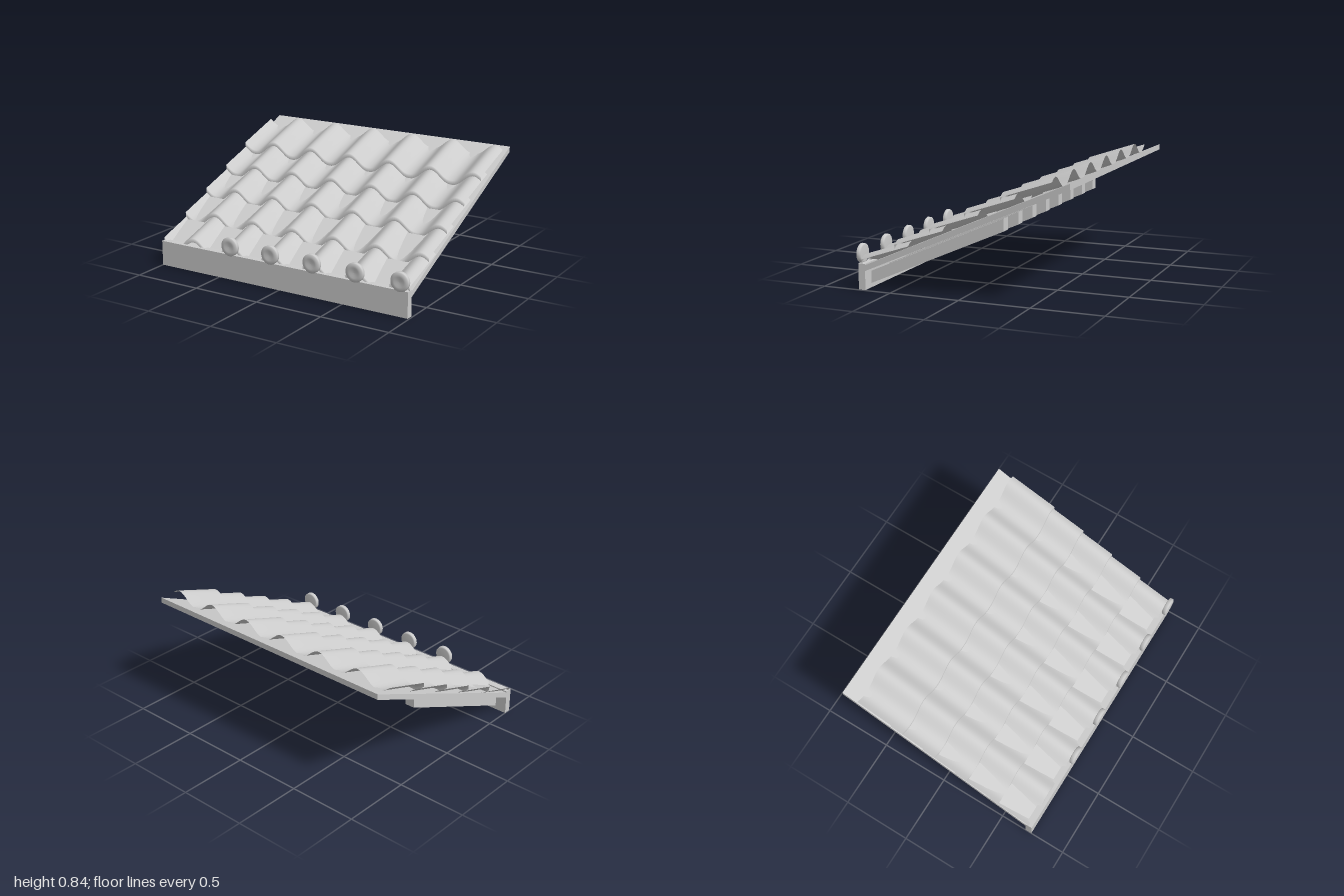
import * as THREE from 'three';

const MIN_X = -1, MAX_X = 0.99, MID_X = -0.005, WIDTH = MAX_X - MIN_X;
const PITCH = 1 / 3, CREST_X = 0.265, WAVE = 0.085;
const SLOPE = 0.443;

// Height of the tile wave above its trough
function wave(x) {
  const c = Math.cos(((x - CREST_X) / PITCH) * Math.PI * 2);
  return WAVE * Math.pow(Math.max(0, (1 + c) / 2), 1.2);
}

// Sloping board with plumb-cut ends: zf/zb are its ends, y0 its underside at the front
function slopedBoard(width, zf, zb, y0, thick) {
  const y1 = y0 + (zf - zb) * SLOPE;
  const shape = new THREE.Shape([
    new THREE.Vector2(zf, y0), new THREE.Vector2(zf, y0 + thick),
    new THREE.Vector2(zb, y1 + thick), new THREE.Vector2(zb, y1),
  ]);
  const g = new THREE.ExtrudeGeometry(shape, { depth: width, bevelEnabled: false });
  g.translate(0, 0, -width / 2);
  g.rotateY(-Math.PI / 2);
  return g;
}

// Wavy tile course with a short lip turned down at its front edge
function tileCourse() {
  const length = 0.35, rise = 0.118, lip = 0.03;
  const g = new THREE.PlaneGeometry(WIDTH, 1, 120, 2);
  const p = g.attributes.position;
  for (let i = 0; i < p.count; i++) {
    const x = p.getX(i) + MID_X, v = p.getY(i);
    const back = v > 0.25, lipEdge = v < -0.25;
    p.setXYZ(i, x, wave(x) + (back ? rise : lipEdge ? -lip : 0), back ? -length : 0);
  }
  g.computeVertexNormals();
  return g;
}

export function createModel() {
  const model = new THREE.Group();
  model.name = 'tiledRoof';
  const grey = new THREE.MeshStandardMaterial({ color: 0xcccccc, side: THREE.DoubleSide });
  grey.name = 'light grey';
  const add = (name, geometry, x = 0, y = 0, z = 0) => {
    const m = new THREE.Mesh(geometry, grey);
    m.name = name;
    m.position.set(x, y, z);
    model.add(m);
    return m;
  };

  // Timber structure
  add('fascia', new THREE.BoxGeometry(WIDTH, 0.18, 0.05), MID_X, 0.09, 0.715);
  add('deck', slopedBoard(WIDTH, 0.69, -0.76, 0.131, 0.04), MID_X);
  const rafter = slopedBoard(0.07, 0.69, -0.28, 0.03, 0.085);
  for (let i = 0; i < 8; i++) add('rafter', rafter, MID_X + (i - 3.5) * 0.25);

  // Overlapping tile courses
  const course = tileCourse();
  for (let i = 0; i < 5; i++) add('tileCourse', course, 0, 0.15 + i * 0.122, 0.715 - i * 0.2515);

  // Round end tiles along the eaves
  const profile = [[0, -0.018], [0.055, -0.018], [0.066, -0.013], [0.067, 0.008],
    [0.062, 0.013], [0.05, 0.018], [0.035, 0.018], [0.02, 0.014], [0, 0.013]];
  const disc = new THREE.LatheGeometry(profile.map(([r, h]) => new THREE.Vector2(r, h)), 32);
  disc.rotateX(Math.PI / 2);
  for (let i = -3; i < 3; i++) add('eaveEndTile', disc, CREST_X + (i + 0) * PITCH + 0, 0.24, 0.739);
  model.children.at(-6).position.x = CREST_X + 2 * PITCH;
  return model;
}
